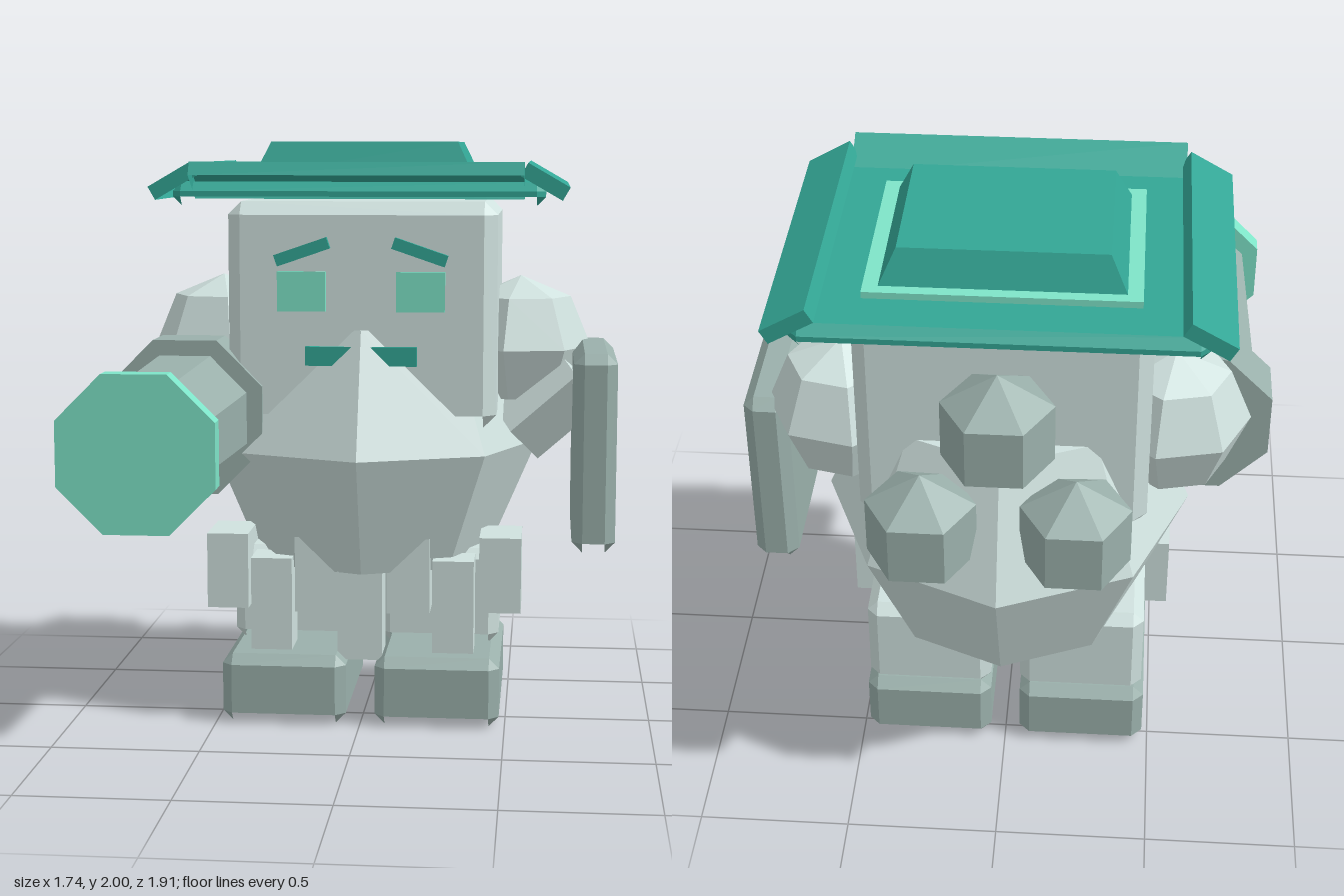
import * as THREE from 'three';
import { ConvexGeometry } from 'three/addons/geometries/ConvexGeometry.js';

const paint = (name, color) => {
  const m = new THREE.MeshStandardMaterial({ color, flatShading: true, side: THREE.DoubleSide });
  m.name = name;
  return m;
};

// Leaves a part open underneath: drops its faces that point steeply down
function openUnderside(mesh) {
  const source = mesh.geometry.index ? mesh.geometry.toNonIndexed() : mesh.geometry;
  const position = source.attributes.position;
  const triangle = new THREE.Triangle();
  const normal = new THREE.Vector3();
  const kept = [];
  for (let i = 0; i < position.count; i += 3) {
    triangle.setFromAttributeAndIndices(position, i, i + 1, i + 2);
    if (triangle.getArea() < 1e-8) continue;
    triangle.getNormal(normal).applyQuaternion(mesh.quaternion);
    if (normal.y > -0.65) kept.push(triangle.a.clone(), triangle.b.clone(), triangle.c.clone());
  }
  mesh.geometry = new THREE.BufferGeometry().setFromPoints(kept);
  mesh.geometry.computeVertexNormals();
}

export function createModel() {
  const model = new THREE.Group();
  model.name = 'stoneGuardian';
  const paleStone = paint('paleStone', 0xd0e2df);
  const darkStone = paint('darkStone', 0x9ab0ab);
  const teal = paint('teal', 0x33a695);
  const mint = paint('mint', 0x7ee4c8);

  const add = (name, geometry, material, x = 0, y = 0, z = 0) => {
    const mesh = new THREE.Mesh(geometry, material);
    mesh.name = name;
    mesh.position.set(x, y, z);
    model.add(mesh);
    return mesh;
  };
  // Box given by its extents on each axis
  const box = (name, material, [x0, x1], [y0, y1], [z0, z1]) =>
    add(name, new THREE.BoxGeometry(x1 - x0, y1 - y0, z1 - z0), material,
      (x0 + x1) / 2, (y0 + y1) / 2, (z0 + z1) / 2);
  // Box with every edge chamfered by c
  const chamferBox = (name, material, [x0, x1], [y0, y1], [z0, z1], c = 0.035) => {
    const h = [(x1 - x0) / 2, (y1 - y0) / 2, (z1 - z0) / 2];
    const points = [];
    for (const sx of [-1, 1]) for (const sy of [-1, 1]) for (const sz of [-1, 1]) {
      for (let axis = 0; axis < 3; axis++) {
        const d = h.map((v, i) => (i === axis ? v : v - c));
        points.push(new THREE.Vector3(sx * d[0], sy * d[1], sz * d[2]));
      }
    }
    return add(name, new ConvexGeometry(points), material,
      (x0 + x1) / 2, (y0 + y1) / 2, (z0 + z1) / 2);
  };
  // Mirrors an x extent to the other side
  const side = (s, a, b) => (s > 0 ? [a, b] : [-b, -a]);

  // Barrel-shaped body, eight sided
  const body = [[0, 0.52], [0.42, 0.52], [0.6, 0.94], [0.42, 1.365], [0, 1.365]]
    .map(([r, y]) => new THREE.Vector2(r, y));
  add('body', new THREE.LatheGeometry(body, 8), paleStone, 0, 0, -0.325);

  // Head and face
  chamferBox('head', paleStone, [-0.46, 0.46], [1.03, 1.8], [-0.635, 0.085], 0.045);
  box('mouth', teal, [-0.19, 0.19], [1.245, 1.31], [0.06, 0.105]);

  // Hat: brim, trim, crown and three tilted flaps
  chamferBox('hatBrim', teal, [-0.62, 0.62], [1.79, 1.868], [-0.78, 0.23], 0.03);
  box('hatTrim', mint, [-0.42, 0.42], [1.86, 1.89], [-0.61, 0.05]);
  const crown = [];
  for (const sx of [-1, 1]) for (const sz of [-1, 1]) {
    crown.push(new THREE.Vector3(sx * 0.375, 1.885, sz * 0.295));
    crown.push(new THREE.Vector3(sx * 0.32, 2, sz * 0.25));
  }
  add('hatCrown', new ConvexGeometry(crown), teal, 0, 0, -0.28);
  const tilt = Math.PI / 6;
  add('hatFrontFlap', new THREE.BoxGeometry(1.1, 0.05, 0.16), teal, 0, 1.873, 0.228).rotation.x = -tilt;

  for (const s of [-1, 1]) {
    const label = s > 0 ? 'left' : 'right';
    add(label + 'HatFlap', new THREE.BoxGeometry(0.16, 0.05, 1.01), teal,
      s * 0.618, 1.87, -0.275).rotation.z = -s * tilt;

    box(label + 'Eye', mint, side(s, 0.12, 0.285), [1.43, 1.565], [0.08, 0.108]);
    add(label + 'Eyebrow', new THREE.BoxGeometry(0.19, 0.04, 0.025), teal,
      s * 0.2, 1.632, 0.102).rotation.z = -s * 0.33;

    // Shoulder
    const shoulder = add(label + 'Shoulder', new THREE.SphereGeometry(0.25, 7, 4), paleStone, s * 0.535, 1.28, -0.33);
    if (s > 0) shoulder.rotation.y = Math.PI;

    // Legs and boots
    chamferBox(label + 'Leg', paleStone, side(s, 0.05, 0.47), [0.235, 0.575], [-0.55, -0.1]);
    chamferBox(label + 'Boot', darkStone, side(s, 0.05, 0.48), [0, 0.24], [-0.56, 0.158]);

    // Hanging skirt blocks
    box(label + 'SkirtFront', paleStone, side(s, 0.245, 0.388), [0.24, 0.565], [-0.09, 0.062]);
    box(label + 'SkirtOuter', paleStone, side(s, 0.405, 0.55), [0.375, 0.64], [-0.225, 0.015]);
    box(label + 'SkirtInner', paleStone, side(s, 0.085, 0.235), [0.375, 0.64], [-0.185, 0.055]);
  }
  box('skirtMiddle', paleStone, [-0.085, 0.07], [0.21, 0.54], [-0.09, 0.062]);

  // Arms: the left one turned out to the shield, the right one forward to the cannon
  add('leftArm', new THREE.BoxGeometry(0.3, 0.175, 0.2), paleStone, 0.63, 1.09, -0.2)
    .rotation.set(0.6, 0, 0.72, 'ZXY');
  add('rightArm', new THREE.BoxGeometry(0.18, 0.18, 0.3), paleStone, -0.57, 1.2, -0.19)
    .rotation.set(0.5, 0, 0.6);

  // Shield on the left arm
  chamferBox('shield', darkStone, [0.72, 0.865], [0.635, 1.305], [-0.395, 0.235]);

  // Cannon on the right arm: octagonal sections along z, sized across the flats
  const octagon = (name, material, front, back, z0, z1) => {
    const k = 1 / Math.cos(Math.PI / 8);
    const g = new THREE.CylinderGeometry(front * k, back * k, z1 - z0, 8);
    g.rotateY(Math.PI / 8).rotateX(Math.PI / 2);
    return add(name, g, material, -0.605, 1.062, (z0 + z1) / 2);
  };
  octagon('cannonCollar', darkStone, 0.266, 0.266, -0.085, 0.105);
  octagon('cannonBarrel', darkStone, 0.19, 0.213, 0.1, 0.89);
  octagon('cannonRim', mint, 0.246, 0.246, 0.885, 0.955);

  // Three hexagonal crystals behind the back
  for (const [x, y] of [[0, 1.445], [-0.24, 1.06], [0.24, 1.06]]) {
    const profile = [[0, 0], [0.173, 0], [0.173, 0.195], [0, 0.3]]
      .map(([r, h]) => new THREE.Vector2(r, h));
    add('backCrystal', new THREE.LatheGeometry(profile, 6, Math.PI / 6), darkStone, x, y, -0.805);
  }

  model.children.forEach(openUnderside);
  return model;
}
